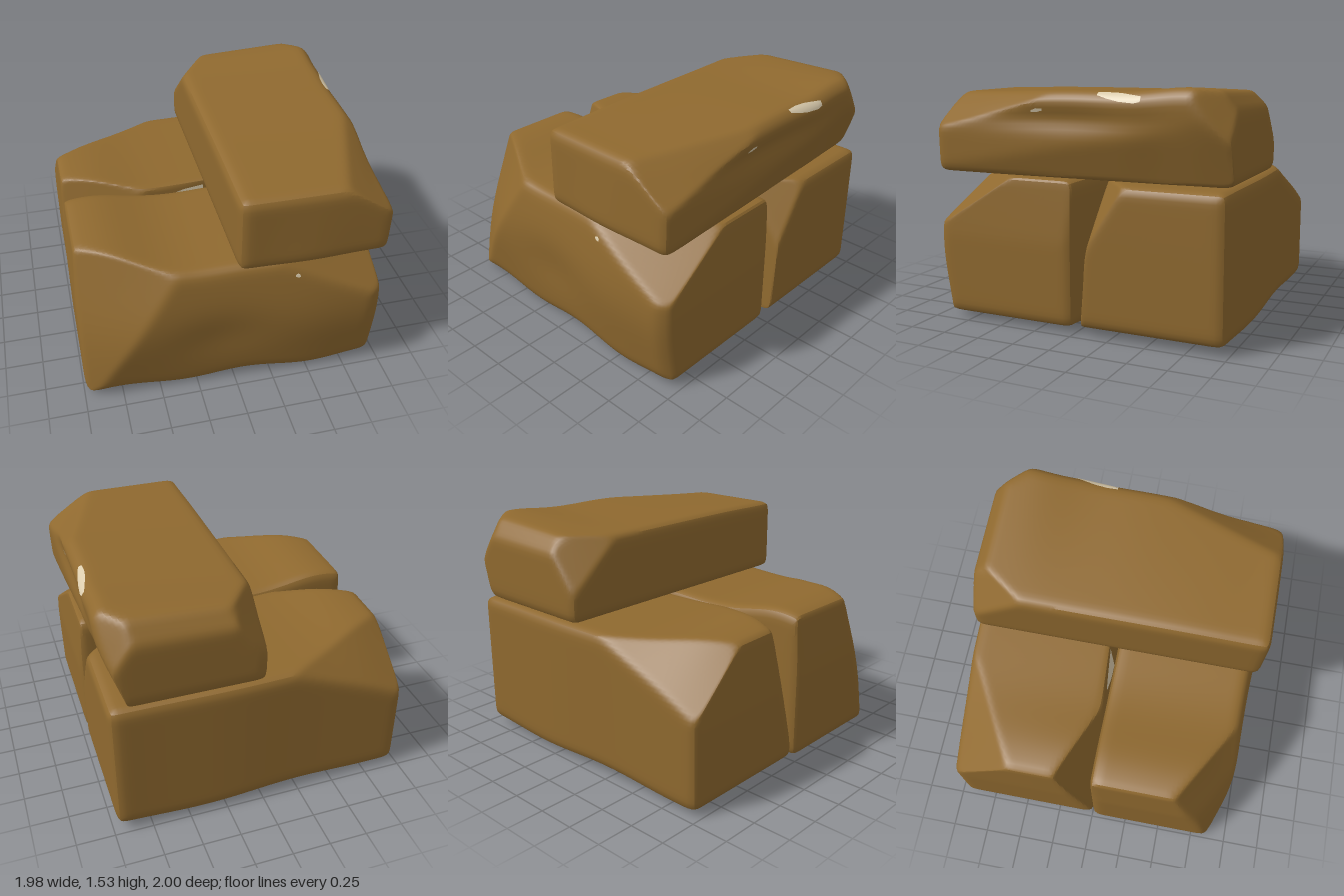
import * as THREE from 'three';
import { mergeVertices, toCreasedNormals } from 'three/addons/utils/BufferGeometryUtils.js';

const V = (a) => new THREE.Vector3(...a);
const bump = (v, at, width) => Math.exp(-(((v - at) / width) ** 2));

// Average each vertex with its neighbours so that cut edges run clean
function relax(geo) {
  const pos = geo.attributes.position, idx = geo.index.array;
  const sum = Array.from({ length: pos.count }, () => new THREE.Vector3());
  const count = new Uint16Array(pos.count);
  const q = new THREE.Vector3();
  for (let i = 0; i < idx.length; i++) {
    const next = idx[i - (i % 3) + ((i + 1) % 3)];
    sum[idx[i]].add(q.fromBufferAttribute(pos, next));
    count[idx[i]]++;
  }
  sum.forEach((s, i) => {
    q.fromBufferAttribute(pos, i).lerp(s.divideScalar(count[i]), 0.6);
    pos.setXYZ(i, q.x, q.y, q.z);
  });
}

// A hewn block: rounded box, corners cut by planes (three points each), then gently warped
function hewnBlock(name, min, max, chips, warp, material) {
  const lo = V(min), hi = V(max), r = 0.05;
  const size = hi.clone().sub(lo);
  const centre = lo.clone().add(hi).multiplyScalar(0.5);
  const box = new THREE.BoxGeometry(size.x, size.y, size.z, ...size.toArray().map((s) => Math.round(s / 0.032)));
  box.translate(...centre.toArray());
  box.deleteAttribute('normal');
  box.deleteAttribute('uv');
  const geo = mergeVertices(box, 1e-4);

  const planes = chips.map((pts) => {
    const plane = new THREE.Plane().setFromCoplanarPoints(...pts.map(V));
    return plane.distanceToPoint(centre) > 0 ? plane.negate() : plane;
  });
  const innerLo = lo.clone().addScalar(r), innerHi = hi.clone().addScalar(-r);
  const pos = geo.attributes.position;
  const p = new THREE.Vector3(), core = new THREE.Vector3();
  for (let i = 0; i < pos.count; i++) {
    p.fromBufferAttribute(pos, i);
    core.copy(p).clamp(innerLo, innerHi);
    p.sub(core).setLength(r).add(core);
    for (const plane of planes) {
      const d = plane.distanceToPoint(p);
      if (d > 0) p.addScaledVector(plane.normal, -d);
    }
    pos.setXYZ(i, p.x, p.y, p.z);
  }
  relax(geo);
  relax(geo);
  for (let i = 0; i < pos.count; i++) {
    p.fromBufferAttribute(pos, i);
    warp(p, p.clone().sub(lo).divide(size)); // second argument: 0..1 position in the block
    pos.setXYZ(i, p.x, p.y, p.z);
  }
  const mesh = new THREE.Mesh(toCreasedNormals(geo, 0.5), material);
  mesh.name = name;
  return mesh;
}

// A thin pale patch laid on a stone: pairs of edge points are dropped onto it along a direction
function palePatch(name, stone, direction, pairs, material) {
  const dir = V(direction), ray = new THREE.Raycaster();
  const verts = [], index = [], rows = 4;
  pairs.forEach(([a, b], i) => {
    for (let j = 0; j <= rows; j++) {
      const p = V(a).lerp(V(b), j / rows);
      ray.set(p.clone().addScaledVector(dir, -1), dir);
      const hit = ray.intersectObject(stone)[0];
      verts.push(...(hit ? hit.point : p).clone().addScaledVector(dir, -0.005).toArray());
      if (i === 0 || j === 0) continue;
      const k = i * (rows + 1) + j, m = k - rows - 1;
      index.push(m - 1, m, k, m - 1, k, k - 1);
    }
  });
  const geo = new THREE.BufferGeometry();
  geo.setAttribute('position', new THREE.Float32BufferAttribute(verts, 3));
  geo.setIndex(index);
  geo.computeVertexNormals();
  const mesh = new THREE.Mesh(geo, material);
  mesh.name = name;
  return mesh;
}

export function createModel() {
  const stone = new THREE.MeshStandardMaterial({ color: 0x8f692f });
  stone.name = 'brown stone';
  const pale = new THREE.MeshStandardMaterial({ color: 0xdccdae, side: THREE.DoubleSide });
  pale.name = 'pale mineral';
  const group = new THREE.Group();
  group.name = 'stackedStones';

  // Front lower stone, with a hollowed face and a wavy underside
  const frontStone = hewnBlock('frontStone', [-0.99, 0.02, 0.0], [0.97, 0.96, 0.975], [
    [[0.25, 0.96, 0.97], [0.97, 0.6, 0.96], [0.97, 0.96, 0.42]],
    [[-0.99, 0.95, 0.57], [-0.4, 0.95, 0.95], [-0.97, 0.05, 0.93]],
    [[-0.99, 0.6, 0.5], [-0.96, 0.96, 0.5], [-0.96, 0.96, 0.3]],
    [[0.97, 0.1, 0.92], [0.9, 0.1, 0.97], [0.9, 0.9, 0.97]],
    [[0.97, 0.55, 0.5], [0.94, 0.96, 0.5], [0.94, 0.96, 0.2]],
  ], (p, t) => {
    p.y += (1 - t.y) * 0.017 * Math.cos(7.4 * (p.x - 0.1));
    p.y += t.y * (0.055 * bump(p.x, -0.8, 0.28) - 0.015 * bump(p.x, -0.25, 0.3));
    const front = t.z ** 2;
    p.z += front * (0.03 * bump(p.y, 0.5, 0.3) + 0.015 * bump(p.x, 0.5, 0.35));
    p.z -= front * (0.04 * t.y ** 4 + 0.045 * (1 - t.y) ** 3);
    p.z -= front * 0.03 * bump(p.x, -0.1, 0.32) * bump(p.y, 0.42, 0.2);
    p.z -= front * 0.05 * (1 - t.x);
  }, stone);

  // Back lower stone
  const backStone = hewnBlock('backStone', [-0.98, 0.04, -0.985], [0.975, 0.955, 0.008], [
    [[-0.98, 0.62, -0.95], [-0.96, 0.955, -0.55], [-0.2, 0.955, -0.96]],
    [[0.97, 0.42, -0.01], [0.97, 0.955, -0.35], [0.55, 0.955, -0.02]],
    [[-0.98, 0.955, -0.26], [-0.42, 0.955, -0.02], [-0.97, 0.2, -0.03]],
    [[-0.98, 0.55, -0.5], [-0.96, 0.955, -0.5], [-0.96, 0.955, -0.2]],
    [[-0.4, 0.955, -0.02], [0.1, 0.955, -0.06], [0.0, 0.3, 0.0]],
  ], (p, t) => {
    p.y += (1 - t.y) * 0.012 * Math.cos(5 * p.x + 1);
    p.y += t.y * 0.05 * bump(p.x, -0.78, 0.28) * (0.4 + 0.6 * t.z);
    p.z += (1 - t.z) * (0.02 * (1 - t.x) - 0.012 * bump(p.x, 0.2, 0.4));
  }, stone);

  // Top stone lying across both, rising toward the back
  const topStone = hewnBlock('topStone', [-0.01, 0.965, -0.995], [0.975, 1.48, 0.98], [
    [[0.97, 1.48, 0.0], [0.64, 1.48, 0.97], [0.95, 1.27, 0.97]],
    [[-0.01, 1.48, -0.6], [0.25, 1.48, -0.97], [-0.01, 1.15, -0.98]],
    [[0.97, 1.48, -0.72], [0.75, 1.48, -0.98], [0.97, 1.2, -0.96]],
    [[0.97, 1.1, 0.3], [0.93, 0.965, 0.35], [0.88, 0.965, -0.6]],
    [[0.5, 1.48, -0.9], [0.9, 1.48, -0.9], [0.5, 1.38, -0.995]],
    [[0.915, 1.48, -0.2], [0.915, 1.48, -0.6], [0.975, 1.42, -0.4]],
  ], (p, t) => {
    p.y += t.y * t.x * (0.025 * bump(p.z, -0.05, 0.45) + 0.058 * bump(p.z, -0.75, 0.3));
    p.y -= t.y * 0.01 * bump(p.z, 0.9, 0.3);
    const side = t.x ** 3;
    p.x += side * t.y * (0.025 * bump(p.z, -0.85, 0.22) + 0.012 * bump(p.z, -0.42, 0.15));
    p.x -= side * 0.03 * bump(p.y, 1.33, 0.07) * bump(p.z, 0.1, 0.6);
    p.x -= side * 0.015 * (1 - t.y);
    p.z += t.z ** 3 * 0.015 * bump(p.x, 0.45, 0.25) * (1 - t.y);
  }, stone);

  // Pale patches: two on the side of the top stone, one on the front, one in the gap
  group.add(frontStone, backStone, topStone,
    palePatch('sidePatch', topStone, [-1, 0, 0], [
      [[0.96, 1.48, -0.17], [0.96, 1.495, -0.17]], [[0.96, 1.462, -0.24], [0.96, 1.497, -0.24]],
      [[0.96, 1.447, -0.32], [0.96, 1.495, -0.32]], [[0.96, 1.44, -0.42], [0.96, 1.485, -0.42]],
      [[0.96, 1.45, -0.46], [0.96, 1.48, -0.46]],
    ], pale),
    palePatch('sideSpeck', topStone, [-1, 0, 0], [
      [[0.95, 1.37, 0.27], [0.95, 1.38, 0.27]], [[0.95, 1.37, 0.23], [0.95, 1.393, 0.23]],
      [[0.95, 1.38, 0.19], [0.95, 1.392, 0.19]],
    ], pale),
    palePatch('frontSpeck', frontStone, [0, 0, -1], [
      [[0.363, 0.85, 0.95], [0.363, 0.86, 0.95]], [[0.38, 0.84, 0.95], [0.38, 0.868, 0.95]],
      [[0.395, 0.842, 0.95], [0.395, 0.858, 0.95]],
    ], pale),
    palePatch('gapPatch', backStone, [0, 0, -1], [
      [[-0.26, 0.84, 0], [-0.26, 0.88, 0]], [[-0.13, 0.7, 0], [-0.13, 0.91, 0]],
      [[0.01, 0.6, 0], [0.01, 0.92, 0]],
    ], pale));
  return group;
}
